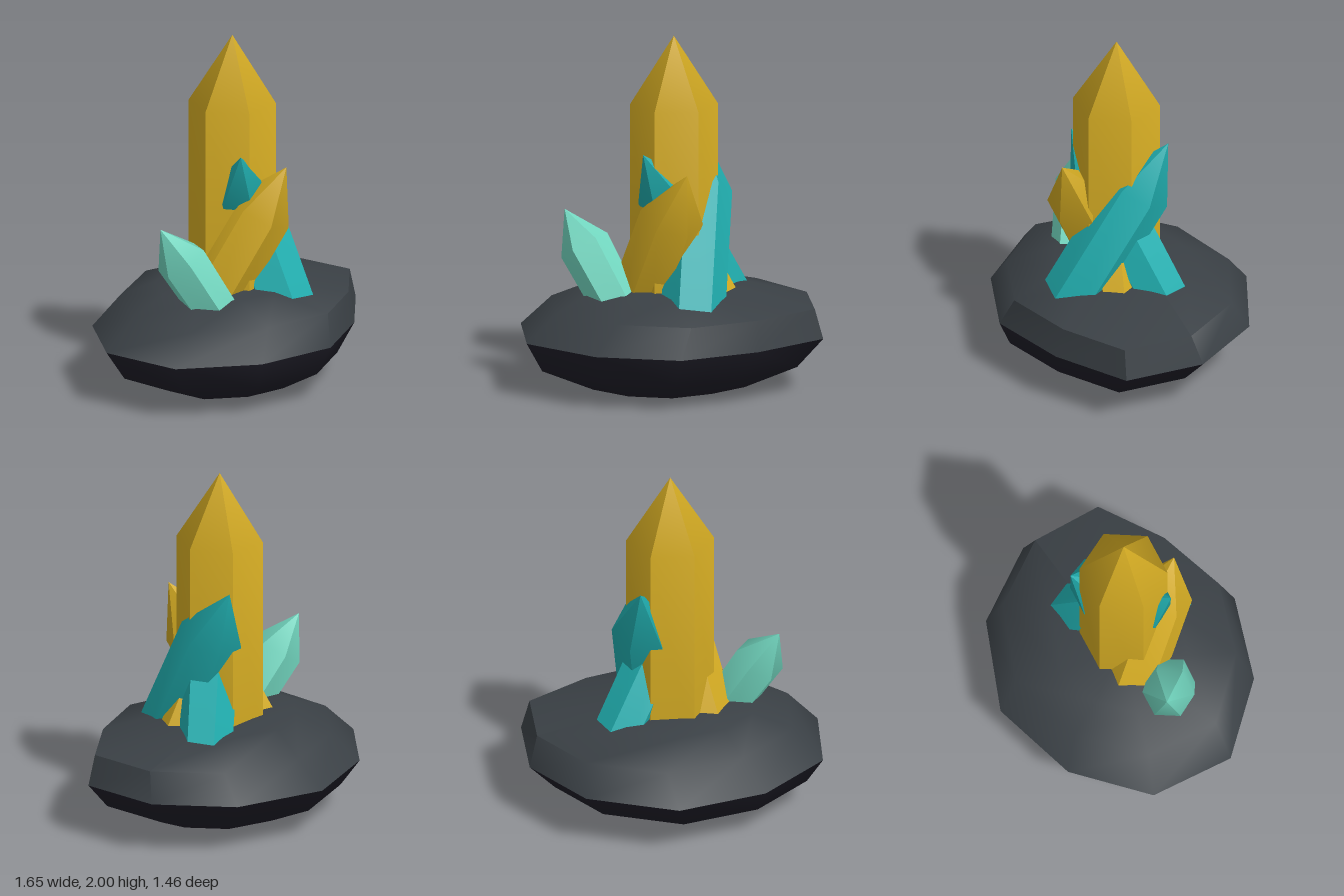
import * as THREE from 'three';
import { mergeVertices, toCreasedNormals } from 'three/addons/utils/BufferGeometryUtils.js';

const mat = (name, color) => Object.assign(new THREE.MeshStandardMaterial({ color }), { name });

// Rock rim, seen from above: x, z
const RIM = [
  [0, -0.73], [0.51, -0.56], [0.8, -0.18], [0.82, 0.28], [0.44, 0.56],
  [0, 0.73], [-0.47, 0.61], [-0.83, 0.28], [-0.83, -0.2], [-0.49, -0.56],
];

// Half of the rock: rings of [y, scale, shiftX, shiftZ] from the rim to the pole
function rockHalf(rings, up) {
  const pos = [], index = [], n = RIM.length;
  for (const [y, s, dx, dz] of rings) {
    for (const [x, z] of RIM) pos.push(x * s + dx, y, z * s + dz);
  }
  for (let r = 0; r < rings.length - 1; r++) {
    for (let i = 0; i < n; i++) {
      const j = (i + 1) % n;
      const a = r * n + i, b = r * n + j, c = a + n, d = b + n;
      if (up) index.push(b, a, c, b, c, d);
      else index.push(a, b, c, b, d, c);
    }
  }
  const geo = new THREE.BufferGeometry();
  geo.setAttribute('position', new THREE.Float32BufferAttribute(pos, 3));
  geo.setIndex(index);
  return toCreasedNormals(mergeVertices(geo), 0.95);
}

// Six-sided crystal from a buried base point to its tip: sharp long edges, soft shoulder
function crystal(name, material, base, tip, baseRadius, radius, tipLength) {
  const from = new THREE.Vector3(...base);
  const axis = new THREE.Vector3(...tip).sub(from);
  const length = axis.length();
  const profile = [
    new THREE.Vector2(baseRadius, 0),
    new THREE.Vector2(radius, length - tipLength),
    new THREE.Vector2(0, length),
  ];
  const geo = toCreasedNormals(new THREE.LatheGeometry(profile, 6, Math.PI / 6), 0.72);
  const mesh = new THREE.Mesh(geo, material);
  mesh.name = name;
  mesh.position.copy(from);
  mesh.quaternion.setFromUnitVectors(new THREE.Vector3(0, 1, 0), axis.normalize());
  return mesh;
}

export function createModel() {
  const group = new THREE.Group();
  group.name = 'crystalCluster';

  const gold = mat('gold', 0xd0a822);
  const teal = mat('teal', 0x20acad);
  const mint = mat('mint', 0x72d6bf);
  const stone = mat('stone', 0x3a4045);
  const darkStone = mat('darkStone', 0x1e1d27);

  // Rock in two halves, meeting in a sharp rim
  const top = new THREE.Mesh(rockHalf([
    [0.31, 1, 0, 0], [0.48, 0.87, 0.06, 0.03], [0.57, 0.5, -0.03, 0], [0.6, 0, -0.05, 0],
  ], true), stone);
  top.name = 'rockTop';
  const bottom = new THREE.Mesh(rockHalf([
    [0.31, 1, 0, 0], [0.15, 0.86, -0.03, 0.03], [0.02, 0.51, -0.03, 0.05], [0, 0, 0, 0],
  ], false), darkStone);
  bottom.name = 'rockUnderside';
  group.add(top, bottom);

  // Crystals
  group.add(
    crystal('mainCrystal', gold, [0.005, 0.4, 0.04], [0.005, 2, 0.04], 0.245, 0.245, 0.39),
    crystal('frontGoldCrystal', gold, [-0.2, 0.4, -0.03], [0.055, 1.28, 0.38], 0.18, 0.18, 0.3),
    crystal('sideGoldCrystal', gold, [0.3, 0.4, 0.13], [-0.02, 1, 0.08], 0.12, 0.12, 0.2),
    crystal('longTealCrystal', teal, [0.085, 0.4, 0.36], [0.185, 1.39, -0.2], 0.18, 0.18, 0.33),
    crystal('crossingTealCrystal', teal, [0.335, 0.4, -0.15], [-0.18, 1.37, 0.24], 0.15, 0.16, 0.28),
    crystal('mintCrystal', mint, [-0.27, 0.4, 0.2], [-0.6, 1.01, 0], 0.13, 0.145, 0.23),
  );
  return group;
}
